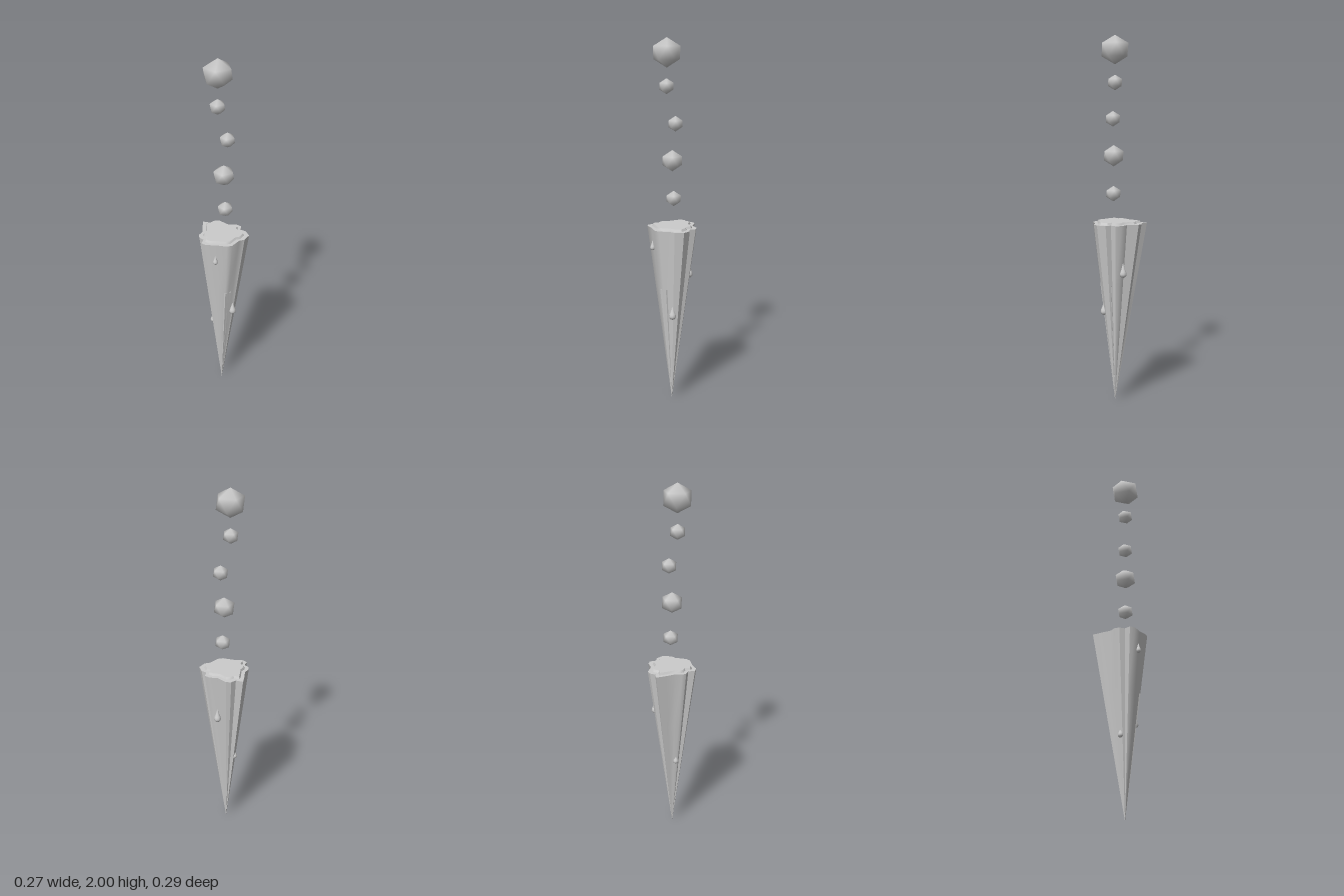
import * as THREE from 'three';
import { mergeVertices, toCreasedNormals } from 'three/addons/utils/BufferGeometryUtils.js';

const AXIS_Z = 0.024;
const material = new THREE.MeshStandardMaterial({ color: 0xcccccc });

// Skin a ring outline through [height, scale] levels, shrinking it toward the axis
function loft(outline, levels) {
  const n = outline.length, positions = [], index = [];
  for (const [y, s] of levels)
    for (const [x, z] of outline) positions.push(x * s, y, AXIS_Z + (z - AXIS_Z) * s);
  for (let l = 0; l < levels.length - 1; l++)
    for (let i = 0; i < n; i++) {
      const a = l * n + i, b = l * n + (i + 1) % n;
      index.push(b, a, a + n, b, a + n, b + n);
    }
  const geometry = new THREE.BufferGeometry();
  geometry.setAttribute('position', new THREE.Float32BufferAttribute(positions, 3));
  geometry.setIndex(index);
  return toCreasedNormals(geometry, 0.65);
}

// Smooth-shaded twenty-sided bead with a vertex pointing up
function beadGeometry() {
  const g = new THREE.IcosahedronGeometry(1, 0);
  g.rotateZ(-Math.atan(2 / (1 + Math.sqrt(5))));
  g.rotateY(Math.PI / 2);
  g.deleteAttribute('uv');
  g.deleteAttribute('normal');
  const smooth = mergeVertices(g, 1e-3);
  smooth.computeVertexNormals();
  return smooth;
}

export function createModel() {
  const model = new THREE.Group();
  const add = (name, geometry) => {
    const mesh = new THREE.Mesh(geometry, material);
    mesh.name = name;
    model.add(mesh);
    return mesh;
  };

  // Fluted icicle with a raised, bevelled plate on its flat top
  const flutes = [
    [-0.03, -0.147], [0, -0.12], [0.03, -0.128], [0.055, -0.117], [0.08, -0.058],
    [0.12, -0.037], [0.134, -0.008], [0.114, 0.022], [0.132, 0.047], [0.128, 0.095],
    [0.086, 0.122], [0.054, 0.119], [0, 0.146], [-0.03, 0.142], [-0.077, 0.103],
    [-0.123, 0.078], [-0.136, 0.05], [-0.111, 0.024], [-0.121, -0.006],
    [-0.112, -0.031], [-0.082, -0.051], [-0.055, -0.104],
  ];
  add('icicle', loft(flutes, [
    [0, 0.002], [0.33, 0.33], [0.67, 0.67], [1, 1], [1, 0.82], [1.012, 0.77], [1.012, 0.002],
  ]));

  // Shorter inner icicle whose ridges break through the flutes
  const ridges = [
    [0, -0.05], [0.06, 0], [0.121, 0.03], [0.121, 0.045], [0.06, 0.08],
    [0.024, 0.142], [-0.03, 0.147], [-0.07, 0.08], [-0.06, 0],
  ];
  add('innerIcicle', loft(ridges, [[0, 0.002], [0.665, 0.665], [0.665, 0.002]]));

  // Water drops running down the sides: x, centre y, z, radius
  const profile = [[0, -1], [0.5, -0.87], [0.87, -0.5], [1, 0], [0.85, 0.6], [0.5, 1.4], [0.25, 2.3], [0, 3.1]];
  const drop = new THREE.LatheGeometry(profile.map(([x, y]) => new THREE.Vector2(x, y)), 10);
  for (const [x, y, z, r] of [
    [-0.076, 0.888, 0.096, 0.014], [0.041, 0.513, 0.076, 0.02],
    [0.074, 0.732, -0.036, 0.02], [-0.045, 0.43, 0.002, 0.015],
  ]) {
    const mesh = add('waterDrop', drop);
    mesh.position.set(x, y, z);
    mesh.scale.setScalar(r);
  }

  // Floating beads above the icicle: x, y, radius
  const bead = beadGeometry();
  for (const [x, y, r] of [
    [-0.027, 1.923, 0.077], [-0.029, 1.751, 0.041], [0.027, 1.56, 0.041],
    [0.007, 1.363, 0.057], [0.016, 1.16, 0.042],
  ]) {
    const mesh = add('bead', bead);
    mesh.position.set(x, y, 0.029);
    mesh.scale.set(r * 1.06, r, r * 1.06);
  }
  return model;
}
